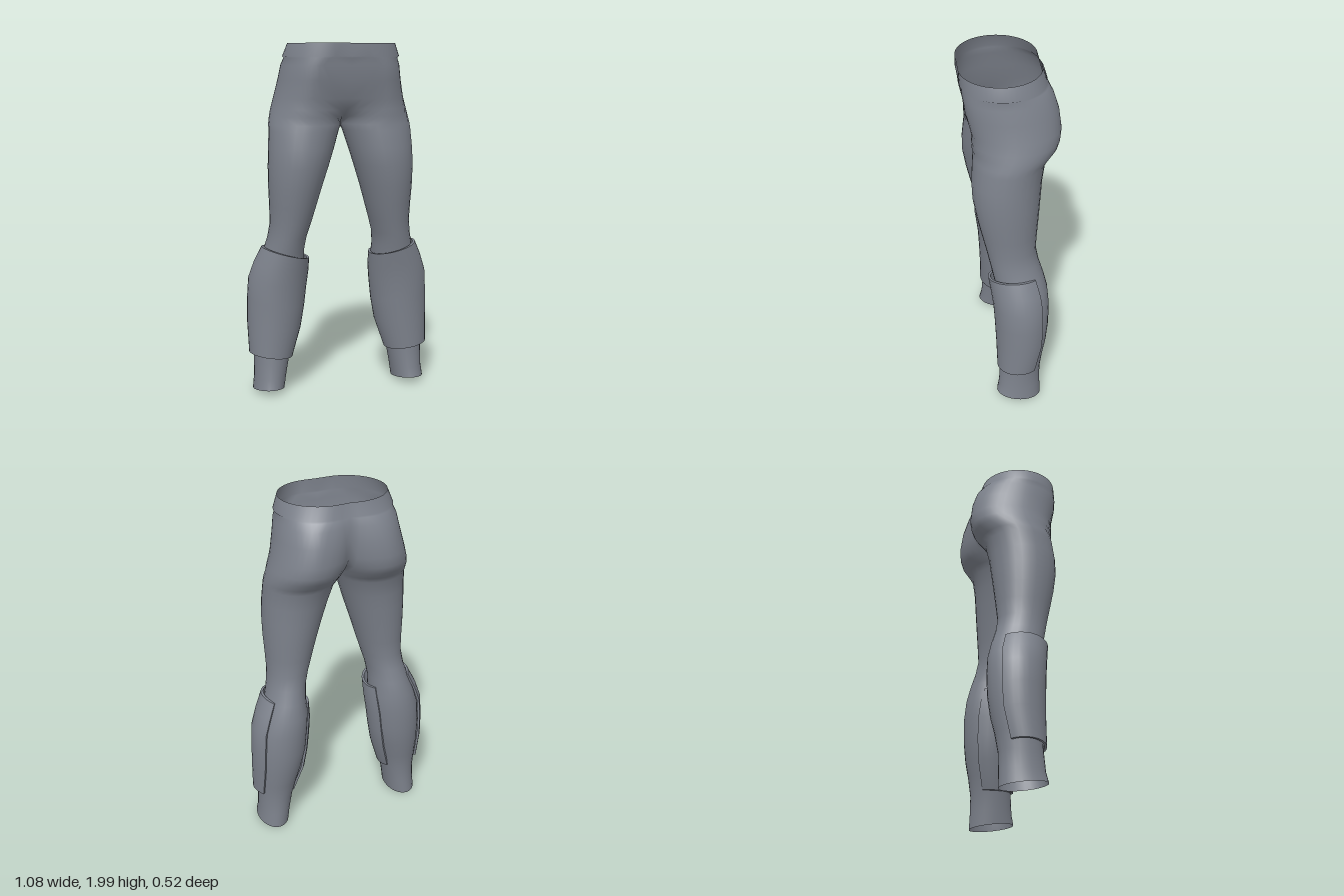
import * as THREE from 'three';
import { mergeGeometries, mergeVertices, toCreasedNormals } from 'three/addons/utils/BufferGeometryUtils.js';

// Leg and hip sections, bottom to top: y, centre x, outer x, front z, back z, then (hips) front and back z on the midline
const LEG = [
  [0.025, 0.425, 0.515, 0.118, -0.14],
  [0.1, 0.415, 0.507, 0.105, -0.137],
  [0.2, 0.405, 0.506, 0.098, -0.137],
  [0.3, 0.395, 0.51, 0.092, -0.152],
  [0.4, 0.382, 0.512, 0.09, -0.173],
  [0.52, 0.368, 0.512, 0.095, -0.187],
  [0.65, 0.357, 0.502, 0.1, -0.19],
  [0.75, 0.338, 0.472, 0.105, -0.182],
  [0.84, 0.325, 0.44, 0.122, -0.16],
  [0.92, 0.31, 0.42, 0.138, -0.135],
  [1.0, 0.293, 0.41, 0.155, -0.12],
  [1.1, 0.28, 0.413, 0.178, -0.128],
  [1.2, 0.268, 0.418, 0.2, -0.137],
  [1.32, 0.25, 0.42, 0.22, -0.148],
  [1.42, 0.232, 0.416, 0.222, -0.157],
  [1.52, 0.213, 0.41, 0.213, -0.175],
  [1.555, 0.204, 0.408, 0.21, -0.2, 0.005, 0.005],
  [1.6, 0.2, 0.398, 0.212, -0.24, 0.1, -0.09],
  [1.64, 0.198, 0.388, 0.213, -0.255, 0.165, -0.15],
  [1.7, 0.19, 0.37, 0.216, -0.262, 0.203, -0.185],
  [1.8, 0.17, 0.347, 0.24, -0.25, 0.236, -0.2],
  [1.88, 0.15, 0.334, 0.25, -0.225, 0.249, -0.198],
  [1.92, 0.12, 0.32, 0.253, -0.203, 0.252, -0.19],
  [1.928, 0.1, 0.33, 0.259, -0.196, 0.257, -0.188],
  [2.0, 0.08, 0.303, 0.26, -0.175, 0.257, -0.168],
];

// Shin guard sections, bottom to top: y, centre x, outer x, front z, back z
const GUARD = [
  [0.228, 0.41, 0.535, 0.112, -0.135],
  [0.4, 0.385, 0.54, 0.115, -0.18],
  [0.53, 0.373, 0.538, 0.12, -0.19],
  [0.65, 0.3625, 0.53, 0.127, -0.19],
  [0.74, 0.342, 0.498, 0.138, -0.18],
  [0.826, 0.32, 0.455, 0.15, -0.155],
];

// Point on a section at an angle: 0 is the outer side, PI/2 the front
function point([y, cx, xo, zf, zb], a, ri = xo - cx, inset = 0, tiltX = 0, tiltZ = 0) {
  const c = Math.cos(a), s = Math.sin(a);
  return [cx + ((c > 0 ? xo - cx : ri) - inset) * c, y + tiltX * c + tiltZ * s,
    (zf + zb) / 2 + ((zf - zb) / 2 - inset) * s];
}

// Surface over rows of points; side is 1 or -1 for the mirrored copy
function loft(rows, side) {
  const w = rows[0].length, index = [];
  const pos = rows.flat().flatMap(([x, y, z]) => [x * side, y, z]);
  for (let i = 0; i < rows.length - 1; i++) {
    for (let j = 0; j < w - 1; j++) {
      const a = i * w + j, b = a + w;
      const q = [a, b, a + 1, a + 1, b, b + 1];
      index.push(...(side > 0 ? q : q.reverse()));
    }
  }
  const geo = new THREE.BufferGeometry();
  geo.setAttribute('position', new THREE.Float32BufferAttribute(pos, 3));
  geo.setIndex(index);
  return geo;
}

// One leg with its half of the hips, open at the midline
function legRows() {
  const n = 14;
  return LEG.map((r) => {
    const [y, cx, xo, zf, zb, mf, mb] = r;
    const zc = (zf + zb) / 2, rz = (zf - zb) / 2;
    const row = [];
    for (let j = -n; j <= n; j++) {
      let end = Math.PI, ri = xo - cx;
      if (mf !== undefined) {
        const s = Math.min(1, Math.abs((j > 0 ? mf : mb) - zc) / rz);
        end = Math.PI - Math.asin(s);
        ri = cx / Math.sqrt(1 - s * s);
      }
      const p = point(r, (j / n) * end, ri, 0, 0, y < 0.05 ? 0.017 : 0);
      if (mf !== undefined && Math.abs(j) === n) p[0] = 0;
      row.push(p);
    }
    return row;
  });
}

// Thick shell round the shin, open at the back of the calf
function guardRows() {
  const n = 24, from = -0.72, to = Math.PI + 0.65, thick = 0.014;
  const ring = (r, k, outer, inner) => {
    const tilt = 0.018 + 0.016 * (k / (GUARD.length - 1));
    const row = [];
    const add = (j, inset) => row.push(point(r, from + ((to - from) * j) / n, undefined, inset, tilt));
    for (let j = 0; j <= n; j++) add(j, outer);
    for (let j = n; j >= 0; j--) add(j, inner);
    add(0, outer);
    return row;
  };
  const last = GUARD.length - 1;
  return [
    ring(GUARD[0], 0, thick / 2, thick / 2),
    ...GUARD.map((r, k) => ring(r, k, 0, thick)),
    ring(GUARD[last], last, thick / 2, thick / 2),
  ];
}

export function createModel() {
  const group = new THREE.Group();
  const grey = new THREE.MeshStandardMaterial({ color: 0x7d828c, side: THREE.DoubleSide });
  grey.name = 'slate grey';

  const add = (geo, name) => {
    const mesh = new THREE.Mesh(geo, grey);
    mesh.name = name;
    group.add(mesh);
  };

  // Trousers: both halves welded along the midline
  const legs = legRows();
  const trousers = mergeVertices(mergeGeometries([loft(legs, 1), loft(legs, -1)]), 1e-4);
  trousers.computeVertexNormals();
  add(trousers, 'trousers');

  // Shin guards
  const guard = guardRows();
  add(toCreasedNormals(loft(guard, 1), 0.7), 'leftShinGuard');
  add(toCreasedNormals(loft(guard, -1), 0.7), 'rightShinGuard');
  return group;
}
